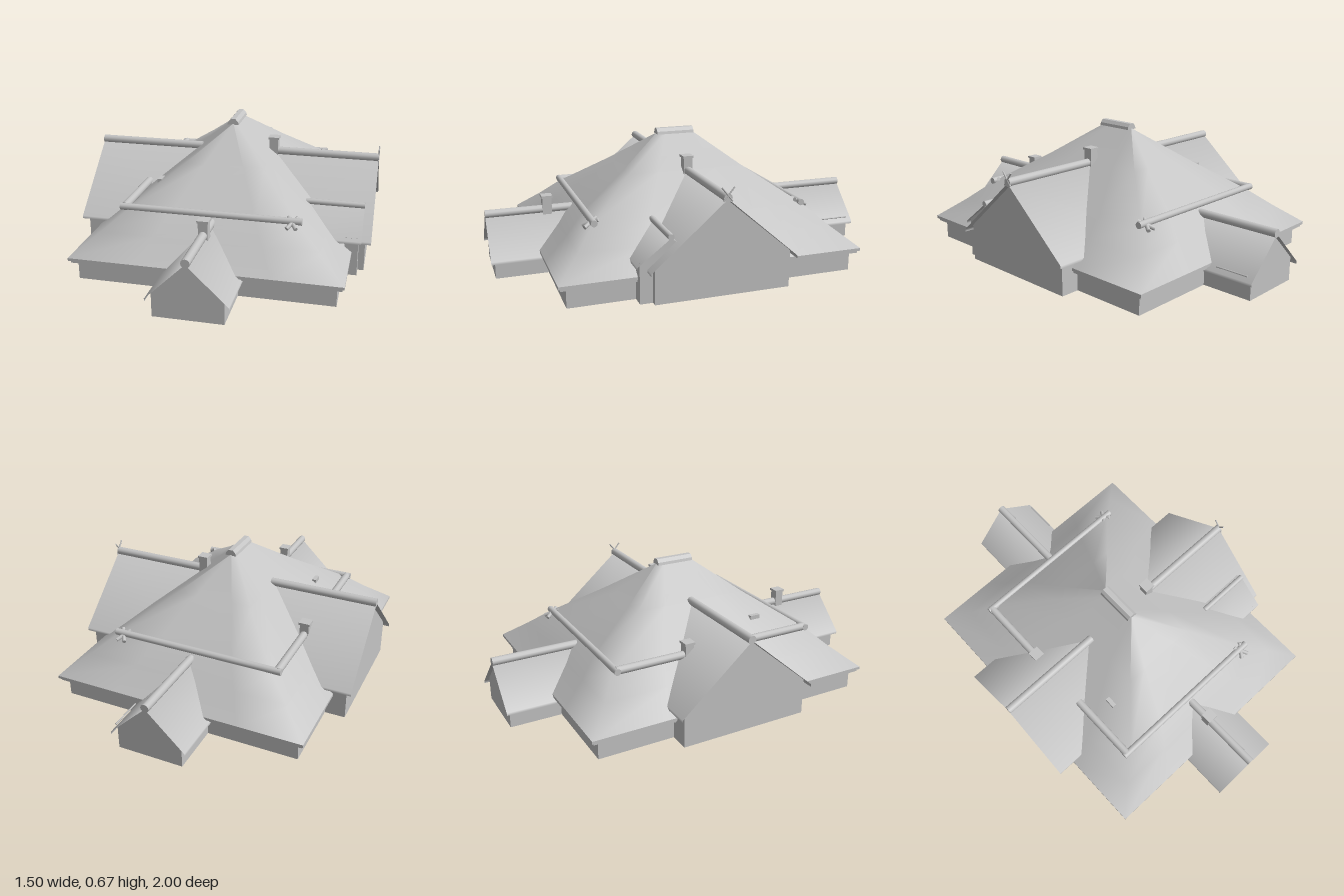
import * as THREE from 'three';

const roofGrey = new THREE.MeshStandardMaterial({ color: 0xc4c4c4, side: THREE.DoubleSide });
roofGrey.name = 'plain grey';

function add(parent, name, geometry, x = 0, y = 0, z = 0) {
  const m = new THREE.Mesh(geometry, roofGrey);
  m.name = name;
  m.position.set(x, y, z);
  parent.add(m);
  return m;
}

function geo(points, index) {
  const g = new THREE.BufferGeometry();
  g.setAttribute('position', new THREE.Float32BufferAttribute(points.flat(), 3));
  g.setIndex(index);
  g.computeVertexNormals();
  return g;
}

const outline = points => new THREE.Shape(points.map(p => new THREE.Vector2(...p)));

// round bar between two points
function bar(parent, name, a, b, r, sides = 12) {
  const from = new THREE.Vector3(...a), to = new THREE.Vector3(...b);
  const m = add(parent, name, new THREE.CylinderGeometry(r, r, from.distanceTo(to), sides));
  m.position.copy(from).add(to).multiplyScalar(0.5);
  m.quaternion.setFromUnitVectors(new THREE.Vector3(0, 1, 0), to.sub(from).normalize());
}

// square chimney, slightly wider at the top
function chimney(parent, x, y0, y1, z) {
  const g = new THREE.Group();
  g.name = 'chimney';
  add(g, 'chimneyStack', new THREE.BoxGeometry(0.046, y1 - y0, 0.046), x, (y0 + y1) / 2, z);
  add(g, 'chimneyCap', new THREE.BoxGeometry(0.056, 0.012, 0.056), x, y1 - 0.006, z);
  parent.add(g);
}

// gabled wing along +z, open below, with a thin roof sheet folded down at the eaves
function wing(name, { wall, wallY, peak, eave, eaveY, start, wallStart, wallEnd, end, pipeStart, pipe }) {
  const g = new THREE.Group();
  g.name = name;
  const fold = eaveY - 0.014;
  const section = [[-eave, fold], [-eave, eaveY], [0, peak], [eave, eaveY], [eave, fold]];
  const points = section.flatMap(([x, y]) => [[x, y, start], [x, y, end]]);
  const index = [];
  for (let i = 0; i < 4; i++) {
    const a = 2 * i, b = a + 1, c = a + 2, d = a + 3;
    // diagonals mirror about the ridge so that its normals stay upright
    index.push(...(i < 2 ? [a, b, d, a, d, c] : [a, b, c, b, d, c]));
  }
  add(g, 'wingRoof', geo(points, index));
  add(g, 'gableWall', new THREE.ShapeGeometry(outline(
    [[-wall, 0], [wall, 0], [wall, wallY], [0, peak - 0.005], [-wall, wallY]])), 0, 0, wallEnd);
  for (const s of [-1, 1]) {
    const side = add(g, 'wingSideWall', new THREE.PlaneGeometry(wallEnd - wallStart, wallY),
      s * wall, wallY / 2, (wallStart + wallEnd) / 2);
    side.rotation.y = s * Math.PI / 2;
  }
  bar(g, 'ridgePipe', [0, peak + 0.004, pipeStart], [0, peak + 0.004, end], pipe);
  return g;
}

// hipped roof lofted from rectangular rings: [half width, height, half depth]
function hippedRoof() {
  const rings = [[0.655, 0.122, 0.76], [0.53, 0.22, 0.642], [0.42, 0.31, 0.55],
    [0.2, 0.48, 0.305], [0.004, 0.638, 0.1]];
  const corners = [[-1, 1], [1, 1], [1, -1], [-1, -1]];
  const cuts = [0, 0.25, 0.75], n = 12, points = [], index = [];
  rings.forEach(([hx, y, hz], row) => {
    corners.forEach(([x, z], i) => {
      const [x2, z2] = corners[(i + 1) % 4];
      for (const c of cuts) points.push([hx * (x + (x2 - x) * c), y, hz * (z + (z2 - z) * c)]);
    });
    if (row) for (let i = 0; i < n; i++) {
      const a = (row - 1) * n + i, b = (row - 1) * n + (i + 1) % n;
      index.push(a, b, b + n, a, b + n, a + n);
    }
  });
  return geo(points, index);
}

export function createModel() {
  const house = new THREE.Group();
  house.name = 'house';

  // main body: open-bottomed walls, eave slabs and hipped roof
  for (const s of [-1, 1]) {
    const w = add(house, 'mainEndWall', new THREE.PlaneGeometry(1.24, 0.1), 0, 0.05, s * 0.72);
    if (s < 0) w.rotation.y = Math.PI;
    add(house, 'mainSideWall', new THREE.PlaneGeometry(1.44, 0.1), s * 0.62, 0.05, 0).rotation.y = s * Math.PI / 2;
  }
  add(house, 'eaveFascia', new THREE.BoxGeometry(1.29, 0.014, 1.5), 0, 0.102, 0);
  add(house, 'eaveSlab', new THREE.BoxGeometry(1.31, 0.014, 1.52), 0, 0.115, 0);
  add(house, 'mainRoof', hippedRoof());

  // ridge cap on the summit
  const cap = outline([[-0.03, 0], [0.03, 0], [0.026, 0.014], [0.012, 0.03], [-0.012, 0.03], [-0.026, 0.014]]);
  add(house, 'summitCap', new THREE.ExtrudeGeometry(cap, { depth: 0.2, bevelEnabled: false }), 0, 0.635, -0.1);

  // front and back wings, their walls running through under the main roof
  const small = { wall: 0.165, wallY: 0.118, peak: 0.28, eave: 0.19, eaveY: 0.095,
    start: 0.53, wallStart: 0, wallEnd: 0.98, end: 1, pipeStart: 0.56, pipe: 0.021 };
  house.add(wing('frontWing', small));
  const back = wing('backWing', small);
  back.rotation.y = Math.PI;
  house.add(back);
  bar(house, 'eaveRod', [0.18, 0.12, -0.8], [0.18, 0.12, -0.97], 0.004, 6);

  // large side wings
  const large = { wall: 0.335, wallY: 0.184, peak: 0.476, eave: 0.36, eaveY: 0.164,
    start: 0.18, wallStart: 0, pipeStart: 0.19, pipe: 0.021 };
  const left = wing('leftWing', { ...large, wallEnd: 0.715, end: 0.745 });
  left.rotation.y = Math.PI / 2;
  const right = wing('rightWing', { ...large, wallEnd: 0.722, end: 0.75 });
  right.rotation.y = -Math.PI / 2;
  house.add(left, right);

  // small dormer wing beside the left wing
  const dormer = wing('dormerWing', { wall: 0.145, wallY: 0.196, peak: 0.306, eave: 0.16, eaveY: 0.184,
    start: 0.4, wallStart: 0.62, wallEnd: 0.685, end: 0.7, pipeStart: 0.41, pipe: 0.015 });
  dormer.rotation.y = Math.PI / 2;
  dormer.position.z = 0.252;
  house.add(dormer);

  // pipes around the roof, with knotted ends
  for (const s of [-1, 1]) {
    const z = s * 0.54, y = 0.319;
    bar(house, 'roofPipe', [-0.46, y, z], [0.43, y, z], 0.017);
    bar(house, 'sidePipe', [-0.44, y, z], [-0.44, y, s * 0.17], 0.02);
    bar(house, 'thinPipe', [0.398, y, z], [0.398, y, s * 0.18], 0.006, 8);
    for (const d of [-1, 1])
      bar(house, 'pipeKnot', [0.385 - d * 0.022, 0.298, z + s * 0.042], [0.385 + d * 0.022, 0.33, z - s * 0.025], 0.01, 8);
  }

  // chimneys and roof vent
  chimney(house, 0.2, 0.46, 0.557, 0);
  chimney(house, 0, 0.26, 0.357, 0.69);
  chimney(house, -0.44, 0.28, 0.385, -0.16);
  add(house, 'roofVent', new THREE.BoxGeometry(0.022, 0.025, 0.055), -0.33, 0.38, 0.3);

  // crossed gable finial
  for (const s of [-1, 1])
    bar(house, 'gableFinial', [0.744, 0.465, -s * 0.022], [0.744, 0.53, s * 0.03], 0.004, 6);

  return house;
}
